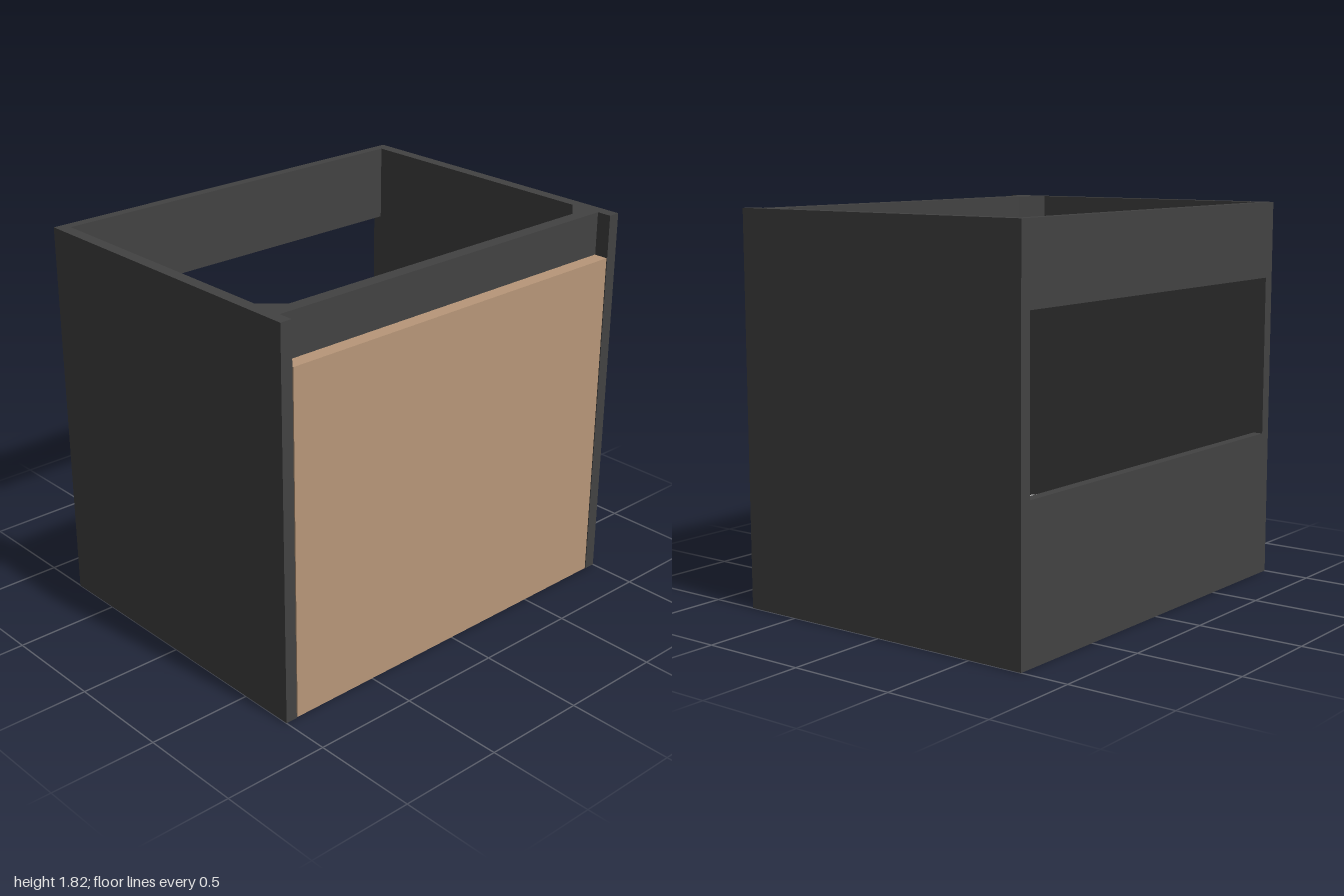
import * as THREE from 'three';
import { toCreasedNormals } from 'three/addons/utils/BufferGeometryUtils.js';

export function createModel() {
  const model = new THREE.Group();
  model.name = 'vanityCabinet';

  const charcoal = new THREE.MeshStandardMaterial({ color: 0x424242 });
  charcoal.name = 'charcoal board';
  const wood = new THREE.MeshStandardMaterial({ color: 0xb89779 });
  wood.name = 'light wood';
  const grey = new THREE.MeshStandardMaterial({ color: 0xc0c0c0 });
  grey.name = 'pale grey sleeve';

  const H = 1.82, D = 0.77, BACK = -0.722;

  function add(name, geometry, material) {
    const mesh = new THREE.Mesh(geometry, material);
    mesh.name = name;
    model.add(mesh);
  }

  // box between two corners
  function board(name, [x0, y0, z0], [x1, y1, z1], material) {
    const g = new THREE.BoxGeometry(x1 - x0, y1 - y0, z1 - z0);
    g.translate((x0 + x1) / 2, (y0 + y1) / 2, (z0 + z1) / 2);
    add(name, g, material);
  }

  // plan outline of [x, z] points raised from y0 to y1
  function slab(points, y0, y1) {
    const shape = new THREE.Shape(points.map(([x, z]) => new THREE.Vector2(x, z)));
    const g = new THREE.ExtrudeGeometry(shape, { depth: y1 - y0, bevelEnabled: false });
    return g.rotateX(Math.PI / 2).translate(0, y1, 0);
  }

  // U outline of the pipe cutout, from the back left round to the back right
  function cutout(halfWidth, tip) {
    const sag = tip + 0.04;
    const r = (halfWidth ** 2 + sag ** 2) / (2 * sag);
    const span = Math.asin(halfWidth / r);
    const points = [[halfWidth, BACK]];
    for (let i = 0; i <= 6; i++) {
      const a = span * (1 - i / 3);
      points.push([r * Math.sin(a), tip - r + r * Math.cos(a)]);
    }
    points.push([-halfWidth, BACK]);
    return points;
  }

  // sides and the triangular braces in the top front corners
  for (const [side, s] of [['left', 1], ['right', -1]]) {
    const xs = [s * 0.943, s].sort((a, b) => a - b);
    board(side + 'Panel', [xs[0], 0, -D], [xs[1], H, D], charcoal);
    add(side + 'CornerBrace', slab([[s * 0.943, 0.55], [s * 0.943, 0.637], [s * 0.84, 0.637]], 1.68, H), charcoal);
  }

  // rails across the back and the top of the front
  board('upperBackRail', [-0.943, 1.46, -D], [0.943, H, BACK], charcoal);
  board('lowerBackRail', [-0.943, 0, -D], [0.943, 0.7, BACK], charcoal);
  board('frontRail', [-0.943, 1.46, 0.637], [0.943, H, 0.7], charcoal);

  // wooden front
  board('drawerFront', [-0.938, 0.003, 0.702], [0.938, 1.62, D], wood);

  // floor with its cutout, and the sleeve lining it
  const outer = cutout(0.275, 0.11);
  const inner = cutout(0.256, 0.098);
  add('floor', slab([[-0.93, BACK], [-0.93, 0.7], [0.93, 0.7], [0.93, BACK], ...outer], 0.003, 0.06), charcoal);
  add('pipeSleeve', toCreasedNormals(slab([...outer, ...inner.reverse()], 0.003, 0.42), 0.6), grey);

  return model;
}
